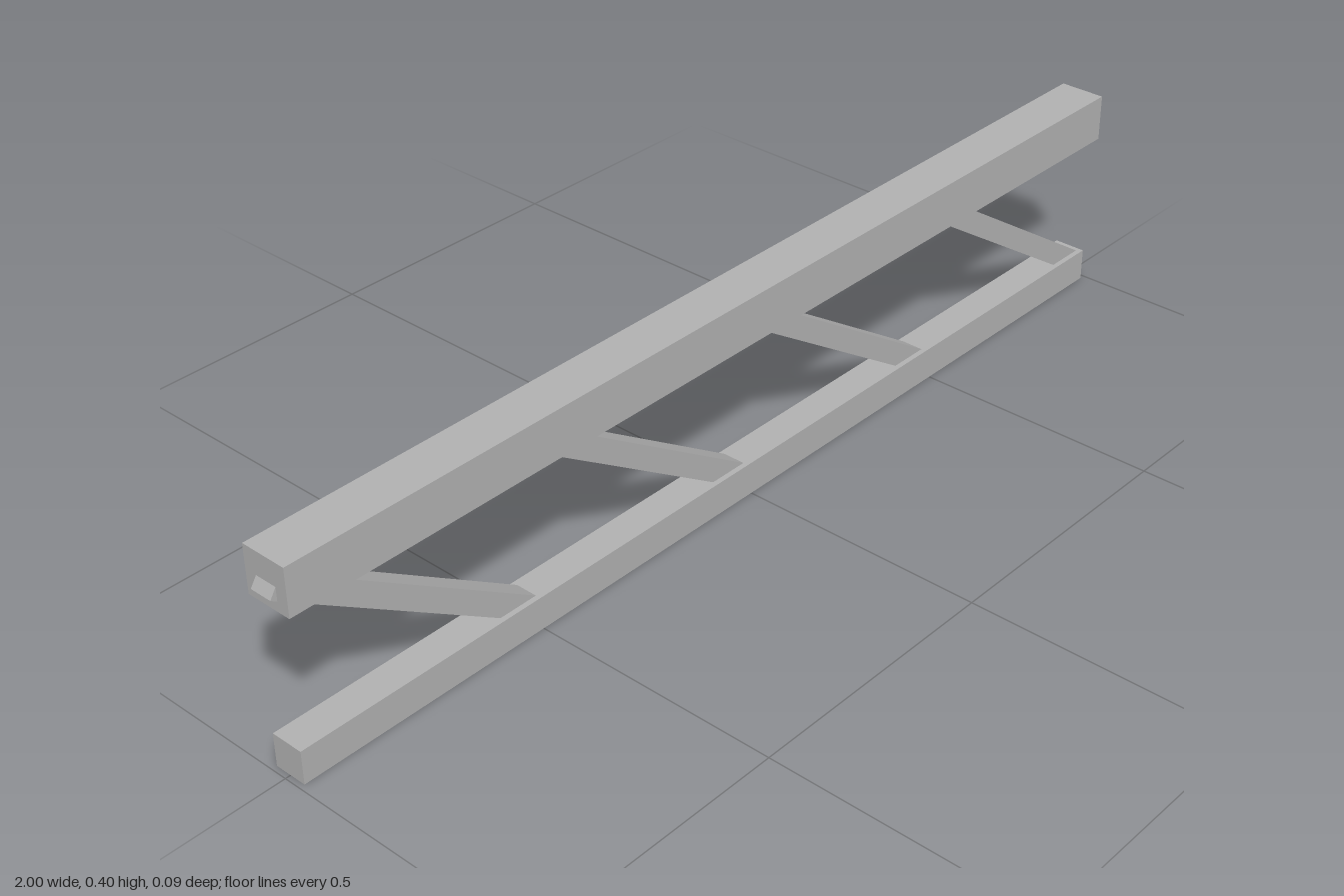
import * as THREE from 'three';

export function createModel() {
  const group = new THREE.Group();
  const steel = new THREE.MeshStandardMaterial({ color: 0xb0b0b0 });
  steel.name = 'grey steel';

  const addBar = (name, length, thickness, x, y, angle = 0) => {
    const bar = new THREE.Mesh(new THREE.BoxGeometry(length, thickness, thickness), steel);
    bar.name = name;
    bar.position.set(x, y, 0);
    bar.rotation.z = angle;
    group.add(bar);
  };

  // Two horizontal chords
  const span = 1.98, topSize = 0.088, bottomSize = 0.062, height = 0.397;
  const topY = height - topSize / 2, bottomY = bottomSize / 2;
  addBar('topChord', span, topSize, 0, topY);
  addBar('bottomChord', span, bottomSize, 0, bottomY);

  // Diagonal braces joining the chord centre lines, one per panel
  const panels = 4, panel = span / panels, rise = topY - bottomY;
  for (let i = 0; i < panels; i++) {
    addBar('diagonalBrace' + (i + 1), Math.hypot(panel, rise), 0.042,
      -span / 2 + (i + 0.5) * panel, (topY + bottomY) / 2, -Math.atan2(rise, panel));
  }
  return group;
}
